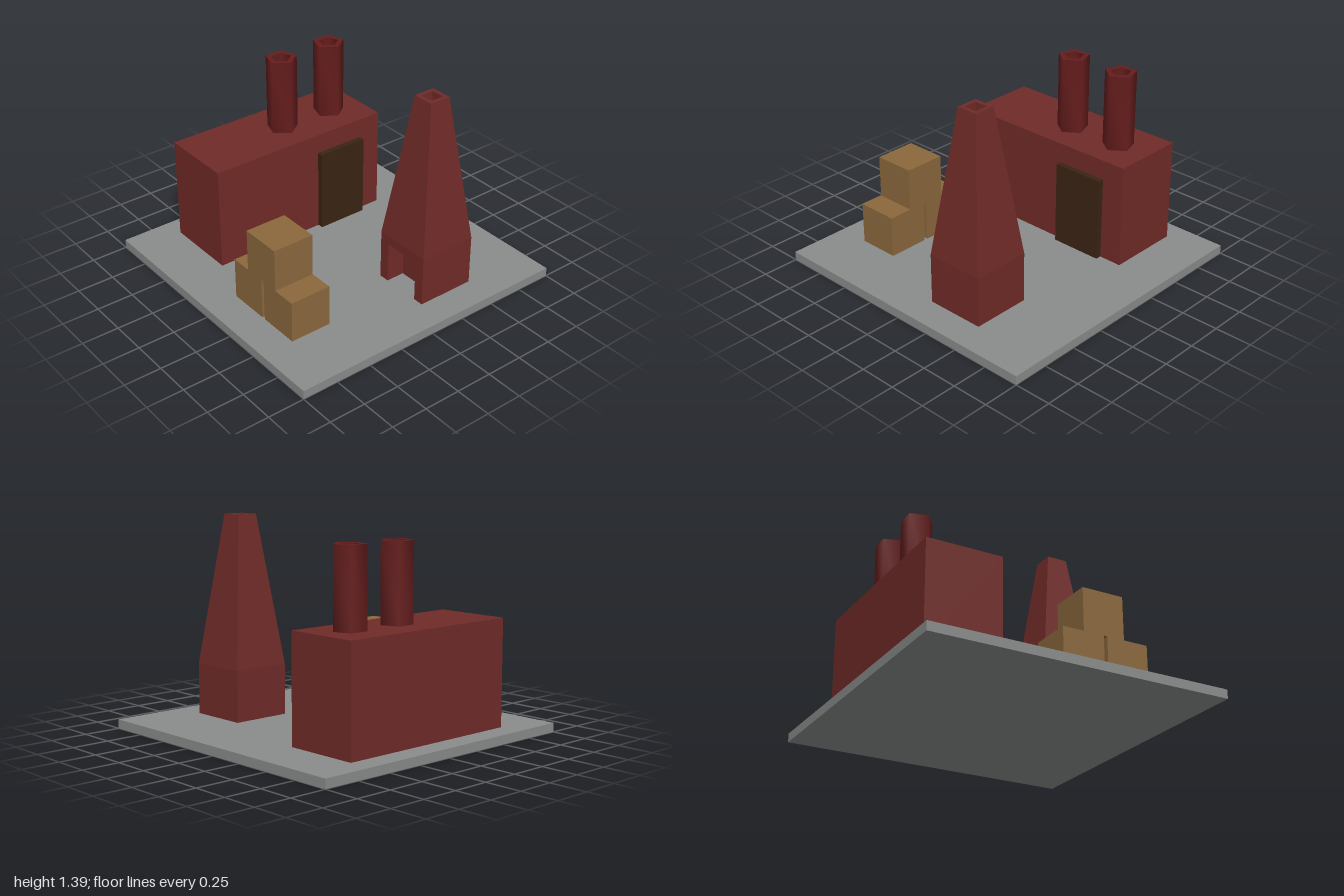
import * as THREE from 'three';
import { toCreasedNormals } from 'three/addons/utils/BufferGeometryUtils.js';

const material = (color) => new THREE.MeshStandardMaterial({ color });

export function createModel() {
  const model = new THREE.Group();
  const ground = material(0x8a8c8c);
  const brick = material(0x702b28);
  const pipe = material(0x661d1d);
  const wood = material(0x8b683d);
  const dark = material(0x3a2413);

  const add = (name, geometry, mat, parent = model) => {
    const mesh = new THREE.Mesh(geometry, mat);
    mesh.name = name;
    parent.add(mesh);
    return mesh;
  };
  // Box given by its limits on each axis
  const box = (name, mat, [x0, x1], [y0, y1], [z0, z1], parent) => {
    const mesh = add(name, new THREE.BoxGeometry(x1 - x0, y1 - y0, z1 - z0), mat, parent);
    mesh.position.set((x0 + x1) / 2, (y0 + y1) / 2, (z0 + z1) / 2);
    return mesh;
  };
  // Many-sided hollow stack from a profile of [radius, height]
  const stack = (profile, sides, start, crease) => toCreasedNormals(
    new THREE.LatheGeometry(profile.map(([r, y]) => new THREE.Vector2(r, y)), sides, start), crease);

  const floor = 0.06;
  box('basePlate', ground, [-1, 1], [0, floor], [-1, 1]);

  // Long hall with a side door
  const hall = new THREE.Group();
  hall.name = 'factoryHall';
  model.add(hall);
  box('hallBody', brick, [-0.85, -0.34], [floor, 0.765], [-0.665, 0.655], hall);
  box('hallDoor', dark, [-0.34, -0.3], [floor, 0.63], [-0.505, -0.145], hall);

  // Two five-sided chimneys, hollow at the top
  for (const z of [-0.423, -0.032]) {
    const profile = [[0.107, 0.765], [0.107, 1.28], [0.067, 1.28], [0.067, 1.18], [0, 1.18]];
    add('chimney', stack(profile, 5, Math.PI / 2, 1.4), pipe, hall).position.set(-0.582, 0, z);
  }

  // Square tapering tower with a doorway in its front
  const tower = new THREE.Group();
  tower.name = 'tower';
  tower.position.set(0.59, 0, -0.293);
  model.add(tower);
  const half = 0.202, shoulder = 0.4, doorHalf = 0.13, doorTop = 0.34, doorDepth = 0.13;
  const arch = new THREE.Shape([
    [-half, floor], [-doorHalf, floor], [-doorHalf, doorTop], [doorHalf, doorTop],
    [doorHalf, floor], [half, floor], [half, shoulder], [-half, shoulder],
  ].map(([x, y]) => new THREE.Vector2(x, y)));
  add('towerDoorway', new THREE.ExtrudeGeometry(arch, { depth: doorDepth, bevelEnabled: false }), brick, tower)
    .position.z = half - doorDepth;
  box('towerBase', brick, [-half, half], [floor, shoulder], [-half, half - doorDepth], tower);
  const taper = [[half, shoulder], [0.073, 1.39], [0.046, 1.39], [0.046, 1.29], [0, 1.29]]
    .map(([h, y]) => [h * Math.SQRT2, y]);
  add('towerShaft', stack(taper, 4, Math.PI / 4, 0.1), brick, tower);

  // Stacked crates: two below with a gap, one on top
  const crates = new THREE.Group();
  crates.name = 'crates';
  model.add(crates);
  const crateZ = [0.49, 0.775];
  box('lowerRightCrate', wood, [-0.005, 0.28], [floor, 0.342], crateZ, crates);
  box('lowerLeftCrate', wood, [0.305, 0.59], [floor, 0.342], crateZ, crates);
  box('upperCrate', wood, [0.14, 0.425], [0.342, 0.63], crateZ, crates);

  return model;
}
